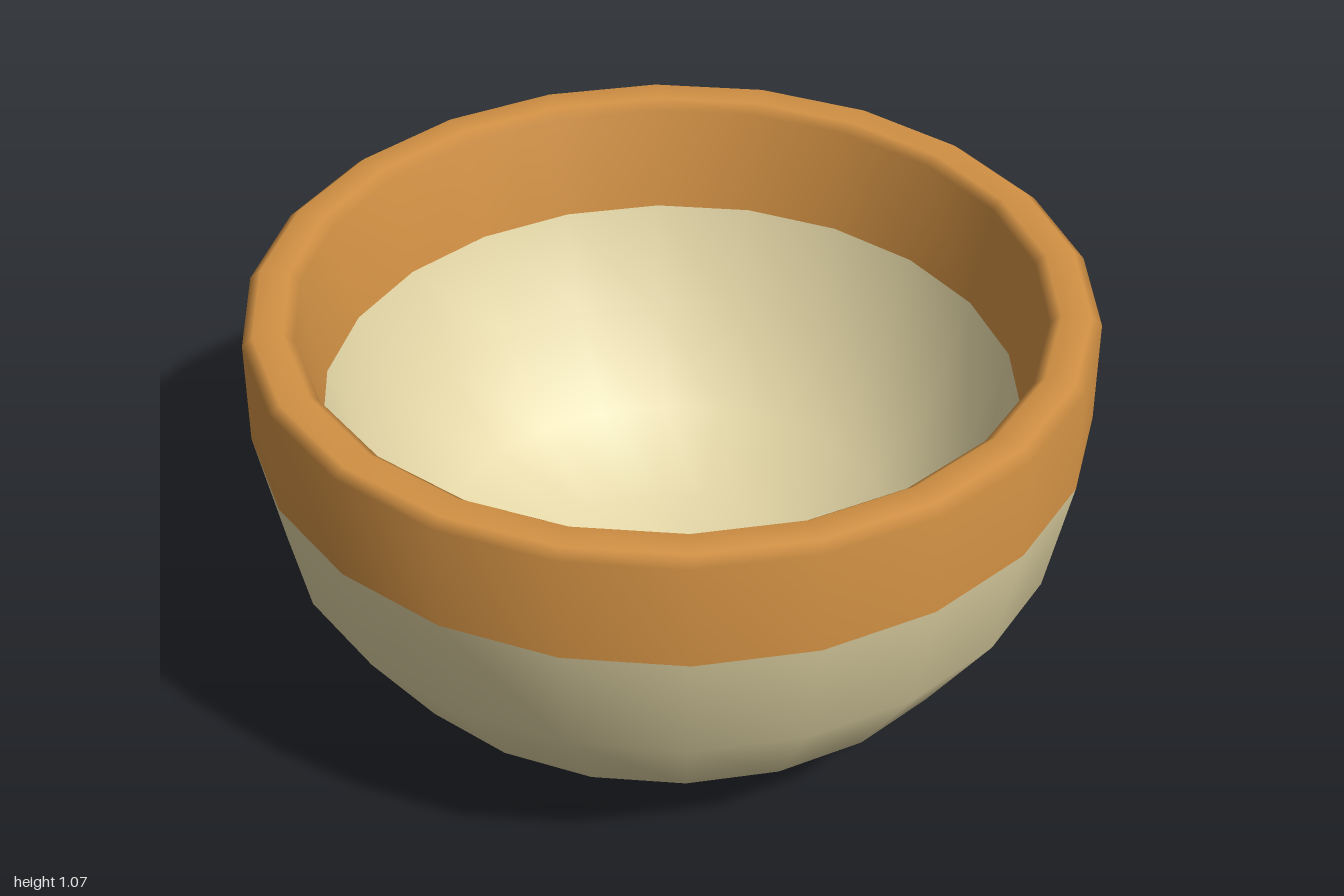
import * as THREE from 'three';

const SIDES = 22;

// Revolves [radius, height] pairs; outer walls run upward, inner walls downward.
function turned(name, profile, material) {
  const points = profile.map(([r, y]) => new THREE.Vector2(r, y));
  const mesh = new THREE.Mesh(new THREE.LatheGeometry(points, SIDES), material);
  mesh.name = name;
  return mesh;
}

// Profile of a flat bottom rounded up into the wall in four steps.
function roundedBottom(base, flat, radius, height, endAngle) {
  const profile = [[0, base]];
  for (let i = 0; i <= 4; i++) {
    const a = THREE.MathUtils.degToRad(endAngle * i / 4);
    profile.push([flat + radius * Math.sin(a), base + height * (1 - Math.cos(a))]);
  }
  return profile;
}

export function createModel() {
  const cream = new THREE.MeshStandardMaterial({ color: 0xe2d5a5 });
  cream.name = 'cream';
  const orange = new THREE.MeshStandardMaterial({ color: 0xd29144 });
  orange.name = 'orange';

  const outer = roundedBottom(0, 0.21, 0.79, 0.782, 90);
  // The hollow narrows downward, so its curve stops short of vertical
  const inner = roundedBottom(0.155, 0.08, 0.765, 0.765, 80).reverse();

  const bowl = new THREE.Group();
  bowl.name = 'bowl';
  bowl.add(turned('outerShell', outer, cream));

  // Bevelled rim band: outer wall, lip, tapered inner wall
  bowl.add(turned('rimBand', [
    outer.at(-1), [1, 1.045], [0.975, 1.066], [0.905, 1.066], [0.88, 1.045], inner[0],
  ], orange));

  bowl.add(turned('innerShell', inner, cream));

  return bowl;
}
